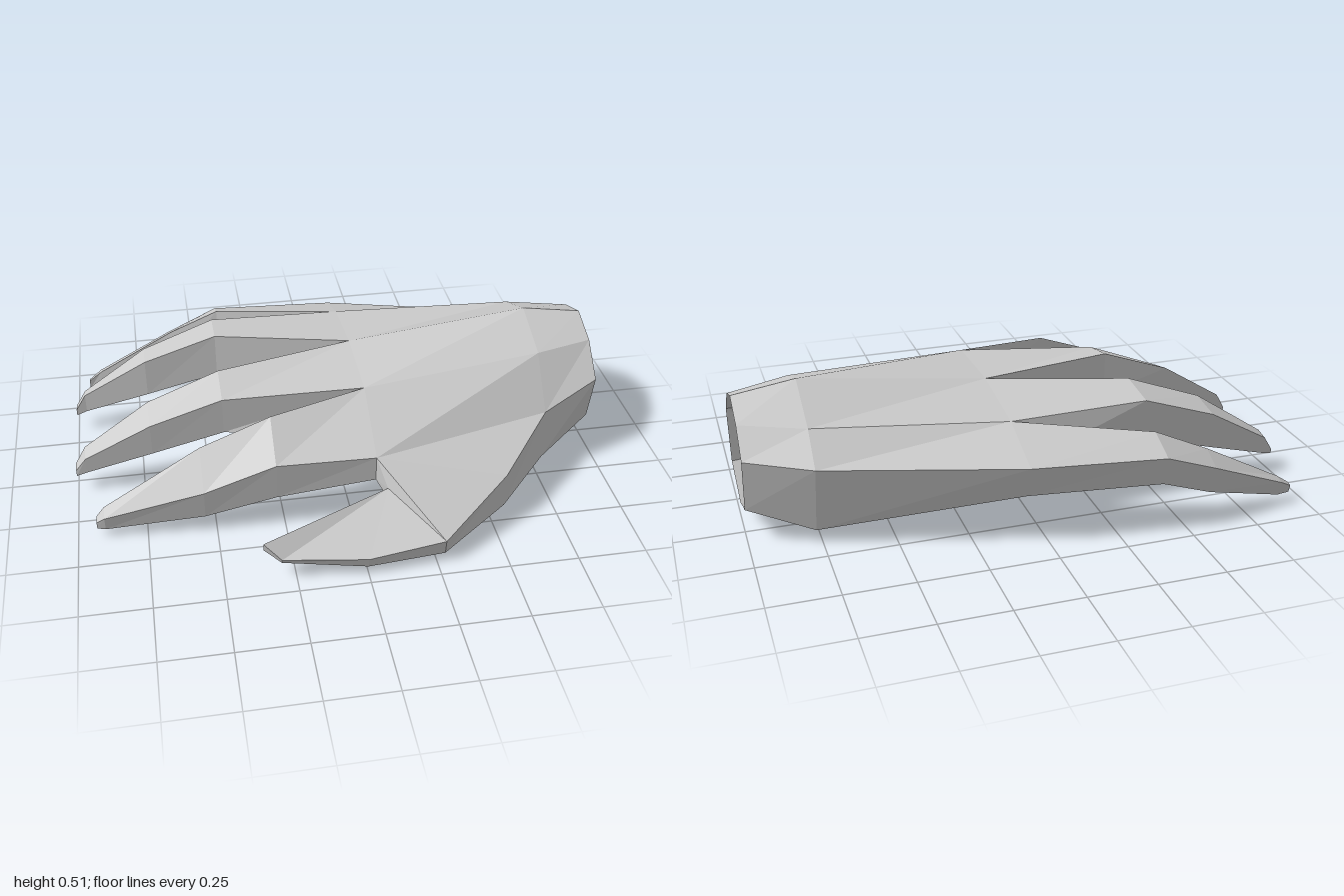
import * as THREE from 'three';

// Skins a list of closed cross-sections (points [x, y, z]) running towards -x.
// Every section goes: back top -> front top -> front bottom -> back bottom.
function loft(name, sections, { cap = true, skip = () => false } = {}) {
  const pos = [];
  const tri = (...corners) => {
    const [a, b, c] = corners.map(p => new THREE.Vector3(...p));
    if (new THREE.Triangle(a, b, c).getArea() < 1e-6) return;
    for (const p of corners) pos.push(...p);
  };
  for (let i = 0; i < sections.length - 1; i++) {
    const s = sections[i], t = sections[i + 1], n = s.length;
    for (let j = 0; j < n; j++) {
      if (skip(i, j)) continue;
      const k = (j + 1) % n;
      tri(s[j], t[j], t[k]);
      tri(s[j], t[k], s[k]);
    }
  }
  if (cap) {
    const e = sections[sections.length - 1];
    for (let j = 1; j < e.length - 1; j++) tri(e[0], e[j + 1], e[j]);
  }
  const geo = new THREE.BufferGeometry();
  geo.setAttribute('position', new THREE.Float32BufferAttribute(pos, 3));
  geo.computeVertexNormals();
  const mesh = new THREE.Mesh(geo, new THREE.MeshStandardMaterial({
    color: 0xcccccc, flatShading: true, side: THREE.DoubleSide }));
  mesh.name = name;
  return mesh;
}

// A flat section at one x from [z, y] pairs
const at = (x, ...zy) => zy.map(([z, y]) => [x, y, z]);

export function createModel() {
  const group = new THREE.Group();
  group.name = 'hand';

  // Palm: open wrist rim, heel of the hand, knuckle line
  const rim = at(1, [-0.365, 0.33], [-0.28, 0.43], [-0.14, 0.48], [0, 0.43], [0.115, 0.32],
    [0.07, 0.125], [-0.04, 0.1], [-0.16, 0.07], [-0.24, 0.1], [-0.32, 0.125]);
  const heel = at(0.77, [-0.47, 0.315], [-0.36, 0.42], [-0.14, 0.515], [0.075, 0.44], [0.22, 0.265],
    [0.23, 0.065], [0.04, 0.035], [-0.15, 0], [-0.28, 0.025], [-0.40, 0.05]);
  const knuckles = at(0.08, [-0.665, 0.31], [-0.45, 0.39], [-0.15, 0.43], [0.17, 0.42], [0.415, 0.28],
    [0.41, 0.18], [0.18, 0.25], [-0.15, 0.25], [-0.45, 0.24], [-0.63, 0.19]);
  knuckles[6] = [-0.04, 0.25, 0.2];   // lower webs reach a little further out
  knuckles[8] = [0, 0.24, -0.47];
  // the side towards the thumb stays open
  group.add(loft('palm', [rim, heel, knuckles], { cap: false, skip: (i, j) => i === 1 && j === 4 }));

  // Fingers start from four neighbouring knuckle points
  const fingers = {
    littleFinger: [
      at(-0.4, [-0.715, 0.30], [-0.6, 0.35], [-0.575, 0.2], [-0.69, 0.19]),
      at(-0.6, [-0.69, 0.22], [-0.61, 0.26], [-0.58, 0.13], [-0.66, 0.11]),
      at(-0.9, [-0.64, 0.09], [-0.605, 0.1], [-0.595, 0.035], [-0.62, 0.03]),
      at(-0.95, [-0.62, 0.06], [-0.6, 0.065], [-0.6, 0.03], [-0.612, 0.03]),
    ],
    ringFinger: [
      at(-0.43, [-0.45, 0.40], [-0.285, 0.42], [-0.28, 0.25], [-0.43, 0.24]),
      at(-0.71, [-0.435, 0.30], [-0.30, 0.32], [-0.30, 0.17], [-0.42, 0.16]),
      at(-0.96, [-0.395, 0.15], [-0.345, 0.16], [-0.345, 0.085], [-0.385, 0.08]),
      at(-1, [-0.385, 0.09], [-0.345, 0.095], [-0.345, 0.07], [-0.38, 0.07]),
    ],
    middleFinger: [
      at(-0.44, [-0.035, 0.42], [0.12, 0.39], [0.11, 0.24], [-0.035, 0.25]),
      at(-0.71, [-0.02, 0.32], [0.1, 0.29], [0.09, 0.16], [-0.01, 0.17]),
      at(-0.96, [0.005, 0.16], [0.065, 0.145], [0.06, 0.08], [0.01, 0.085]),
      at(-1, [0.015, 0.095], [0.055, 0.09], [0.055, 0.065], [0.02, 0.07]),
    ],
    indexFinger: [
      at(-0.28, [0.26, 0.395], [0.405, 0.28], [0.39, 0.13], [0.27, 0.2]),
      at(-0.54, [0.275, 0.30], [0.39, 0.18], [0.375, 0.065], [0.28, 0.12]),
      at(-0.9, [0.305, 0.10], [0.355, 0.085], [0.345, 0.03], [0.31, 0.04]),
      at(-0.93, [0.31, 0.065], [0.34, 0.06], [0.335, 0.03], [0.315, 0.03]),
    ],
  };
  Object.entries(fingers).forEach(([name, joints], i) => {
    const base = [knuckles[i], knuckles[i + 1], knuckles[8 - i], knuckles[9 - i]];
    group.add(loft(name, [base, ...joints]));
  });

  // Thumb: a flat wedge from the heel, past the index knuckle and web, to its tip
  const web = [0.11, 0.19, 0.48], webLow = [0.11, 0.14, 0.47];
  group.add(loft('thumb', [
    [heel[4], heel[4], heel[5], heel[5]],
    [knuckles[4], [0.55, 0.19, 0.48], [0.55, 0.05, 0.475], knuckles[5]],
    [web, [0.28, 0.09, 0.685], [0.28, 0.03, 0.675], webLow],
    [web, [0, 0.07, 0.71], [0, 0.03, 0.7], webLow],
    [[-0.36, 0.14, 0.65], [-0.3, 0.085, 0.68], [-0.3, 0.065, 0.67], [-0.36, 0.11, 0.645]],
  ], { skip: (i, j) => i === 0 && j === 3 }));

  return group;
}
